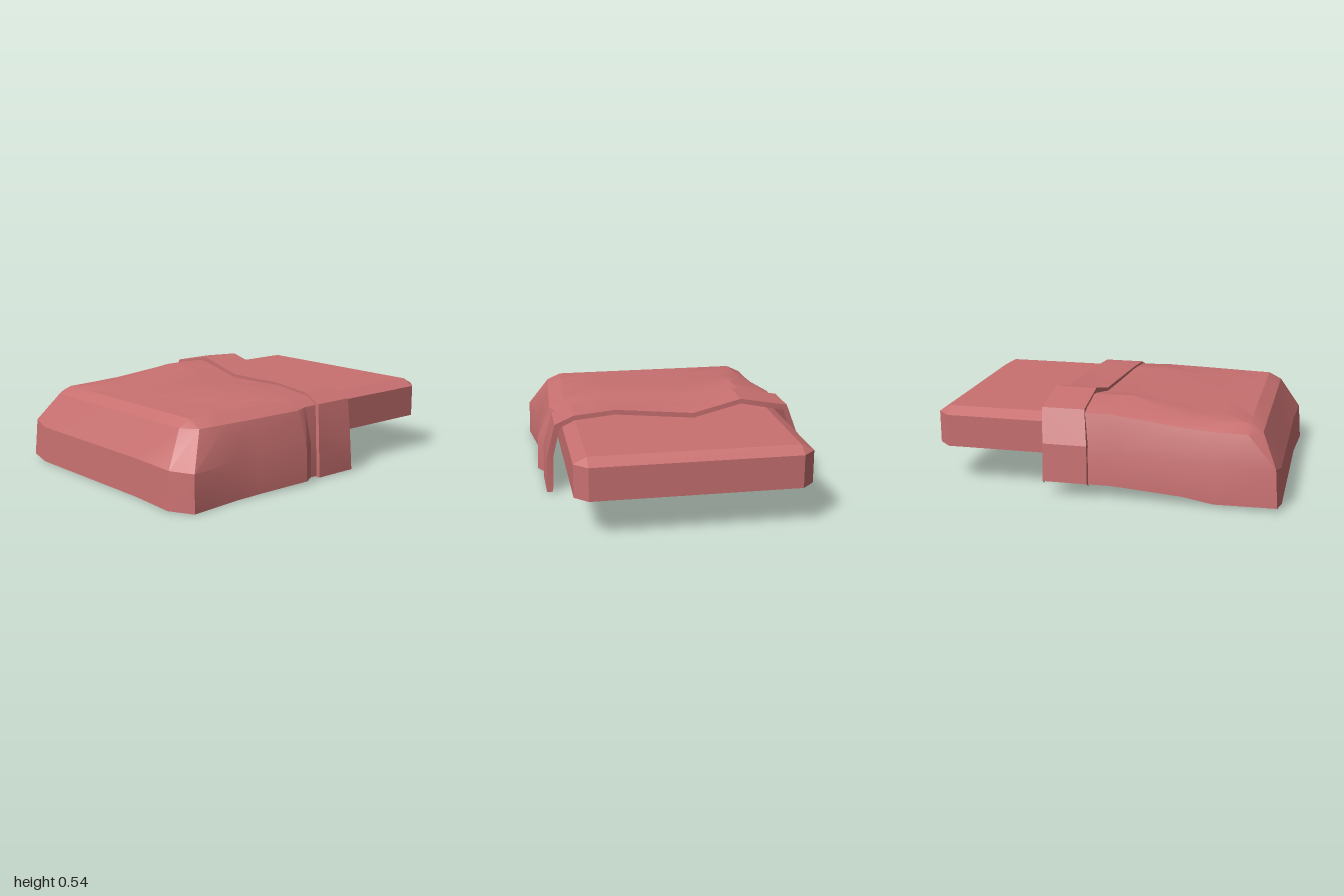
import * as THREE from 'three';
import { mergeGeometries, toCreasedNormals } from 'three/addons/utils/BufferGeometryUtils.js';

// Surface through rows of points; columns run right and rows run up as seen from outside
function loft(rows) {
  const n = rows[0].length, index = [];
  for (let j = 0; j < rows.length - 1; j++) {
    for (let i = 0; i < n - 1; i++) {
      const a = j * n + i, b = a + 1, c = a + n, d = c + 1;
      index.push(a, b, d, a, d, c);
    }
  }
  const g = new THREE.BufferGeometry();
  g.setAttribute('position', new THREE.Float32BufferAttribute(rows.flat(2), 3));
  g.setIndex(index);
  return g;
}

// Rectangle with cut corners, closed, running counter-clockwise from above
function ring(x0, x1, z0, z1, cut, y) {
  const p = [
    [x0, y, z1 - cut], [x0 + cut, y, z1], [x1 - cut, y, z1], [x1, y, z1 - cut],
    [x1, y, z0 + cut], [x1 - cut, y, z0], [x0 + cut, y, z0], [x0, y, z0 + cut],
  ];
  return [...p, p[0]];
}

// Open-bottomed shell that runs under the whole blanket
function mattressGeometry() {
  const x0 = -0.592, x1 = 0.562, z0 = -0.93, z1 = 0.785, y = 0.438;
  const walls = loft([
    ring(-0.665, 0.635, -1, 0.858, 0.073, 0.215),
    ring(-0.665, 0.635, -1, 0.858, 0.073, 0.4),
    ring(x0, x1, z0, z1, 0, y),
  ]);
  const top = loft([[[x0, y, z1], [x1, y, z1]], [[x0, y, z0], [x1, y, z0]]]);
  return mergeGeometries([walls, top]);
}

function blanketGeometry() {
  // Rows from back to front; the hidden back edge slants with the band
  const zs = [null, 0.04, 0.12, 0.45, 0.62];
  const rowZ = (x, i) => zs[i] ?? Math.min(-0.255, Math.max(-0.325, -0.325 + (x + 0.12) * 0.16));
  const foldX = [-0.45, -0.12, 0.33];
  // Top heights across the width at each row, showing the soft folds
  const heights = [
    [0.485, 0.51, 0.447, 0.472, 0.45],
    [0.485, 0.52, 0.447, 0.478, 0.45],
    [0.475, 0.52, 0.455, 0.486, 0.452],
    [0.45, 0.462, 0.455, 0.455, 0.448],
    [0.445, 0.452, 0.45, 0.45, 0.445],
  ];
  const topLeft = [-0.61, -0.61, -0.61, -0.6, -0.595], topRight = [0.58, 0.59, 0.595, 0.575, 0.565];

  // One level of the skirt: left side, front with cut corners, right side
  const level = (left, right, yL, yR, yF, cornerL, front, cornerR) => [
    ...left.map((x, i) => [x, yL[i], rowZ(x, i)]),
    cornerL,
    ...front.map(([x, z]) => [x, yF, z]),
    [cornerR[0], yF, cornerR[1]],
    ...right.map((x, i) => [x, yR[i], rowZ(x, i)]).reverse(),
  ];
  const all = v => zs.map(() => v);
  const front = (xL, z, xR, zR) => [[xL, z], ...foldX.map(x => [x, z]), [xR, zR]];
  const hem = level(all(-0.74), [0.695, 0.715, 0.765, 0.742, 0.735],
    [0.075, 0.075, 0.07, 0.045, 0.015], [0.01, 0.012, 0.015, 0.005, 0], 0,
    [-0.74, 0.02, 0.965], front(-0.61, 0.98, 0.635, 1), [0.77, 0.93]);
  const middle = level(all(-0.728), [0.69, 0.71, 0.757, 0.735, 0.73],
    [0.26, 0.26, 0.26, 0.245, 0.235], all(0.21), 0.21,
    [-0.728, 0.235, 0.95], front(-0.61, 0.97, 0.63, 0.985), [0.765, 0.925]);
  const shoulder = level([-0.668, -0.668, -0.669, -0.671, -0.673], [0.645, 0.66, 0.68, 0.665, 0.655],
    [0.465, 0.465, 0.455, 0.415, 0.405], [0.41, 0.41, 0.405, 0.402, 0.402], 0.402,
    [-0.675, 0.402, 0.792], front(-0.6, 0.865, 0.565, 0.865), [0.645, 0.795]);
  const rim = level(topLeft, topRight, heights.map(h => h[0]), heights.map(h => h[4]), 0.441,
    [-0.592, 0.441, 0.79], front(-0.592, 0.79, 0.562, 0.79), [0.562, 0.79]);

  const topRows = heights.map((h, i) =>
    [topLeft[i], ...foldX, topRight[i]].map((x, k) => [x, h[k], rowZ(x, i)]));
  topRows.push([-0.592, ...foldX, 0.562].map(x => [x, 0.441, 0.79]));
  return mergeGeometries([loft([hem, middle, shoulder, rim]), loft(topRows.reverse())]);
}

function foldedBandGeometry() {
  // x, y, front z, back z from the right-hand end to the other
  const path = [
    [-0.77, 0.085, -0.08, -0.335], [-0.755, 0.3, -0.085, -0.335], [-0.68, 0.488, -0.113, -0.355],
    [-0.4, 0.538, -0.115, -0.355], [-0.12, 0.467, -0.115, -0.355], [0.33, 0.49, -0.052, -0.29],
    [0.57, 0.467, -0.05, -0.29], [0.68, 0.418, -0.045, -0.29], [0.73, 0.21, -0.005, -0.262],
    [0.735, 0.005, -0.01, -0.275],
  ];
  // Lip points sit inward, square to the path, with the lip deeper at the sides
  const inner = path.map(([x, y], i) => {
    const a = path[Math.max(i - 1, 0)], b = path[Math.min(i + 1, path.length - 1)];
    const dx = b[0] - a[0], dy = b[1] - a[1], l = Math.hypot(dx, dy);
    const depth = Math.abs(x) > 0.6 ? 0.036 : 0.028;
    return [x + (dy / l) * depth, y - (dx / l) * depth];
  });
  inner[0][1] = 0.062;
  return loft([
    path.map((p, i) => [...inner[i], p[2]]),
    path.map(p => [p[0], p[1], p[2]]),
    path.map(p => [p[0], p[1], p[3]]),
    path.map((p, i) => [...inner[i], p[3]]),
  ]);
}

export function createModel() {
  const group = new THREE.Group();
  group.name = 'bedding';
  const material = new THREE.MeshStandardMaterial({ color: 0xc87070, side: THREE.DoubleSide });
  const add = (name, geometry, crease) => {
    const mesh = new THREE.Mesh(toCreasedNormals(geometry, crease), material);
    mesh.name = name;
    group.add(mesh);
  };
  add('mattress', mattressGeometry(), 0.3);
  add('blanket', blanketGeometry(), 0.42);
  add('foldedBand', foldedBandGeometry(), 0.3);
  return group;
}
